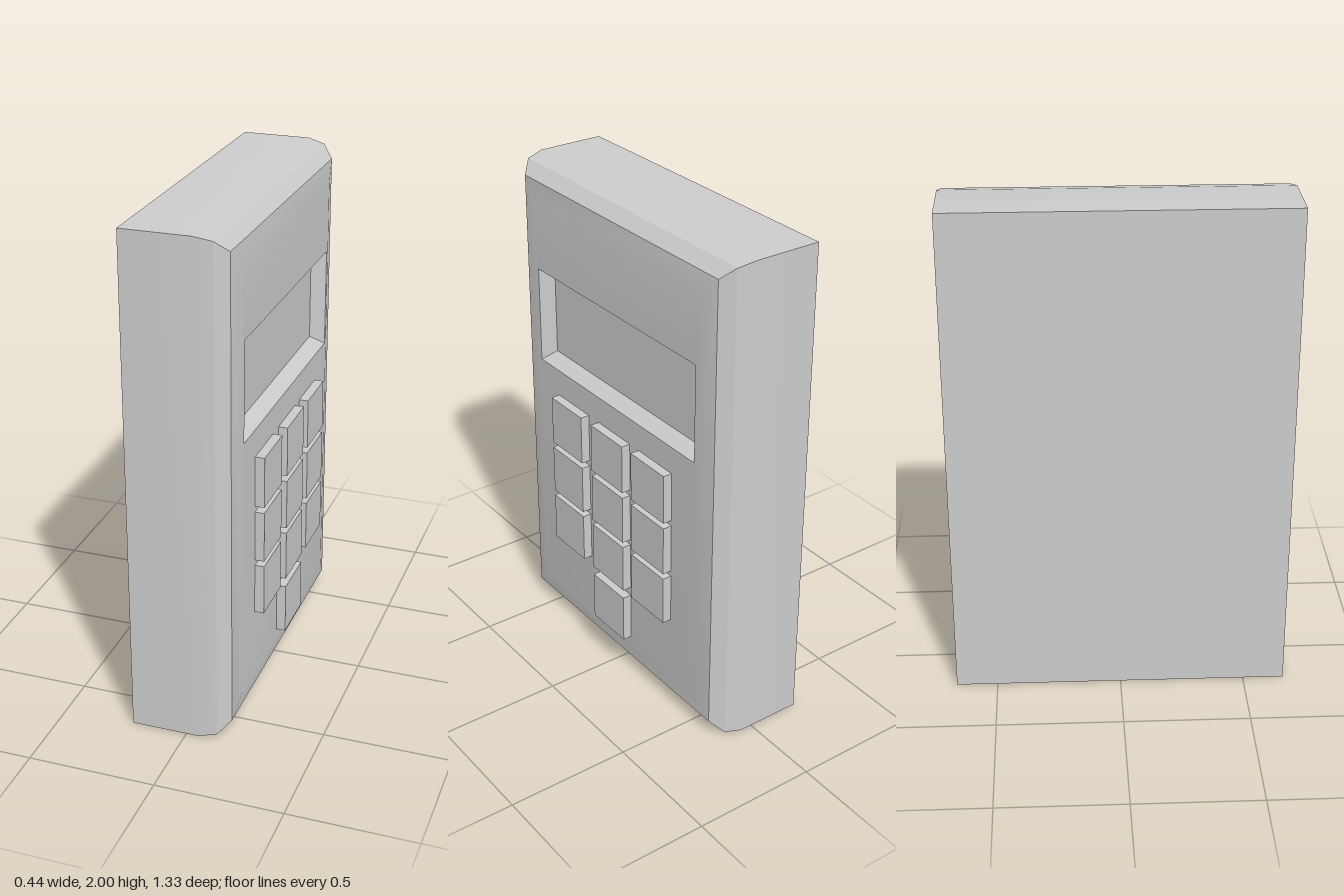
import * as THREE from 'three';
import { toCreasedNormals } from 'three/addons/utils/BufferGeometryUtils.js';

const grey = new THREE.MeshStandardMaterial({ color: 0xcccccc });

// Closed loft along +x through rectangles [x, half width in z, bottom y, top y]
function loftRectangles(rings) {
  const pos = [], idx = [];
  rings.forEach(([x, w, y0, y1]) => pos.push(x, y0, -w, x, y1, -w, x, y1, w, x, y0, w));
  for (let i = 0; i < rings.length - 1; i++) {
    for (let j = 0; j < 4; j++) {
      const a = i * 4 + j, b = i * 4 + (j + 1) % 4;
      idx.push(a, b, b + 4, a, b + 4, a + 4);
    }
  }
  const n = (rings.length - 1) * 4;
  idx.push(0, 2, 1, 0, 3, 2, n, n + 1, n + 2, n, n + 2, n + 3);
  const geo = new THREE.BufferGeometry();
  geo.setAttribute('position', new THREE.Float32BufferAttribute(pos, 3));
  geo.setIndex(idx);
  return toCreasedNormals(geo, 0.5);
}

export function createModel() {
  const model = new THREE.Group();
  model.name = 'keypad';

  // Case: straight sides, rounded front rim, then the sunken display
  const rim = [[-0.22, 0], [0.05, 0], [0.12, 0.015], [0.165, 0.06], [0.18, 0.14]];
  const rings = rim.map(([x, inset]) => [x, 0.665 - inset, inset, 2 - inset]);
  rings.push([0.18, 0.507, 1.19, 1.585], [0.125, 0.475, 1.225, 1.55]);
  const body = new THREE.Mesh(loftRectangles(rings), grey);
  body.name = 'caseWithDisplayRecess';
  model.add(body);

  // Keys: three rows of three and a single one below
  const keys = new THREE.Group();
  keys.name = 'keys';
  const keyGeo = new THREE.BoxGeometry(0.057, 0.205, 0.21);
  const columns = [0.278, 0, -0.268];
  [0.977, 0.748, 0.52, 0.277].forEach((y, row) => {
    columns.forEach((z, col) => {
      if (row === 3 && col !== 1) return;
      const key = new THREE.Mesh(keyGeo, grey);
      key.name = `key${row + 1}${col + 1}`;
      key.position.set(0.1885, y, z);
      keys.add(key);
    });
  });
  model.add(keys);
  return model;
}
